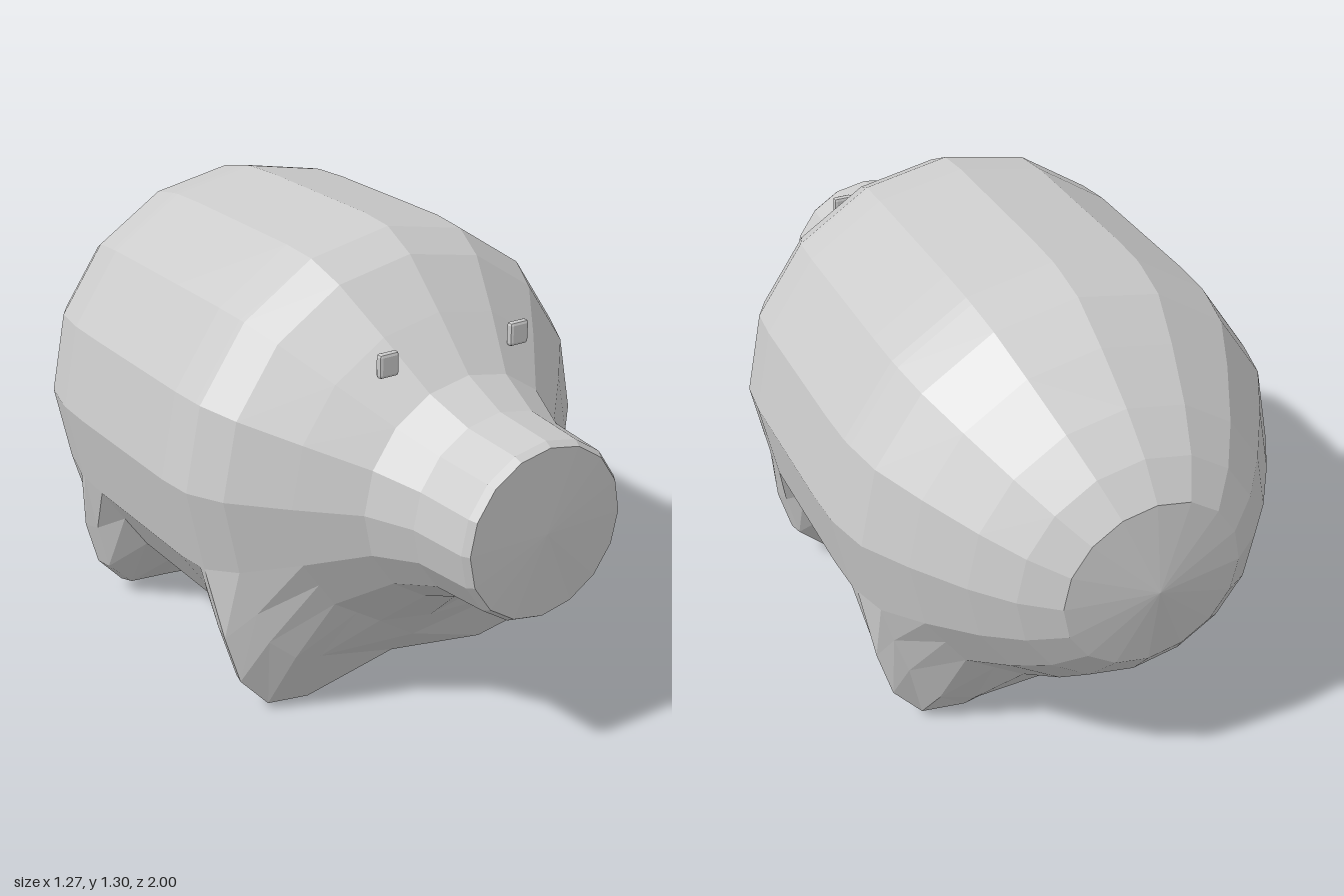
import * as THREE from 'three';
import { RoundedBoxGeometry } from 'three/addons/geometries/RoundedBoxGeometry.js';

const CENTRE_Y = 0.68;
const WIDEN = 1.025;

// Lower half-sections [x, y, z] that pull the body out into feet, from flank to belly line
const frontLegFore = [[0.49, 0.34, 0.43], [0.46, 0.25, 0.44], [0.39, 0.19, 0.46], [0.31, 0.17, 0.46], [0, 0.14, 0.46]];
const frontLegTip = [[0.55, 0.25, 0.36], [0.51, 0.11, 0.37], [0.43, 0.02, 0.38], [0.3, 0, 0.38], [0, 0.04, 0.36]];
const frontLegBack = [[0.54, 0.26, 0.31], [0.5, 0.11, 0.33], [0.42, 0.03, 0.34], [0.3, 0.02, 0.34], [0, 0.045, 0.33]];
const rearLegFore = [[0.54, 0.26, -0.4], [0.5, 0.11, -0.42], [0.42, 0.03, -0.43], [0.3, 0.02, -0.43], [0, 0.045, -0.42]];
const rearLegTip = [[0.55, 0.25, -0.46], [0.51, 0.11, -0.47], [0.43, 0.02, -0.48], [0.3, 0, -0.48], [0, 0.04, -0.45]];
const rearLegBack = [[0.52, 0.34, -0.52], [0.48, 0.22, -0.52], [0.4, 0.11, -0.54], [0.29, 0.06, -0.53], [0, 0.07, -0.53]];

// Body sections from snout to rump: z, radius, optional leg shape
const sections = [
  [0.995, 0.23], [0.975, 0.242], [0.8, 0.255], [0.67, 0.31], [0.54, 0.44],
  [0.41, 0.56, frontLegFore], [0.31, 0.61, frontLegTip], [0.29, 0.612, frontLegBack],
  [0.2, 0.62], [-0.02, 0.62], [-0.26, 0.62],
  [-0.38, 0.615, rearLegFore], [-0.41, 0.61, rearLegTip], [-0.52, 0.585, rearLegBack],
  [-0.65, 0.51], [-0.79, 0.415], [-0.89, 0.33], [-0.962, 0.24],
];

function makeRing([z, r, legs]) {
  const at = (deg) => {
    const a = THREE.MathUtils.degToRad(deg);
    return [r * WIDEN * Math.cos(a), CENTRE_Y + r * Math.sin(a), z];
  };
  const mid = (p, q) => p.map((v, i) => (v + q[i]) / 2);
  const half = [];
  for (let deg = 90; deg >= -22.5; deg -= 22.5) half.push(at(deg));
  const round = [mid(at(-22.5), at(-45)), at(-45), mid(at(-45), at(-67.5)), at(-67.5), at(-90)];
  half.push(...(legs || round));
  // Mirror the half-section to close the loop
  const mirrored = half.slice(1, -1).reverse().map(([x, y, pz]) => [-x, y, pz]);
  return [...half, ...mirrored];
}

function makeBody() {
  const rings = sections.map(makeRing);
  const n = rings[0].length;
  const positions = rings.flat(2);
  const index = [];
  for (let i = 0; i < rings.length - 1; i++) {
    for (let j = 0; j < n; j++) {
      const a = i * n + j;
      const b = i * n + ((j + 1) % n);
      index.push(a, b, a + n, b, b + n, a + n);
    }
  }
  // Snout disc and rump cap
  const front = rings.length * n;
  positions.push(0, CENTRE_Y, 1, 0, CENTRE_Y, -1);
  const last = (rings.length - 1) * n;
  for (let j = 0; j < n; j++) {
    const k = (j + 1) % n;
    index.push(front, k, j, front + 1, last + j, last + k);
  }
  const geometry = new THREE.BufferGeometry();
  geometry.setAttribute('position', new THREE.Float32BufferAttribute(positions, 3));
  geometry.setIndex(index);
  geometry.computeVertexNormals();
  return geometry;
}

export function createModel() {
  const group = new THREE.Group();
  group.name = 'pig';
  const material = new THREE.MeshStandardMaterial({ color: 0xcccccc, flatShading: true });

  const body = new THREE.Mesh(makeBody(), material);
  body.name = 'body';
  group.add(body);

  // Eyes
  const eyeGeometry = new RoundedBoxGeometry(0.06, 0.066, 0.022, 1, 0.009);
  for (const side of [1, -1]) {
    const eye = new THREE.Mesh(eyeGeometry, material);
    eye.name = side > 0 ? 'leftEye' : 'rightEye';
    eye.position.set(side * 0.207, 1.043, 0.606);
    group.add(eye);
  }
  return group;
}
